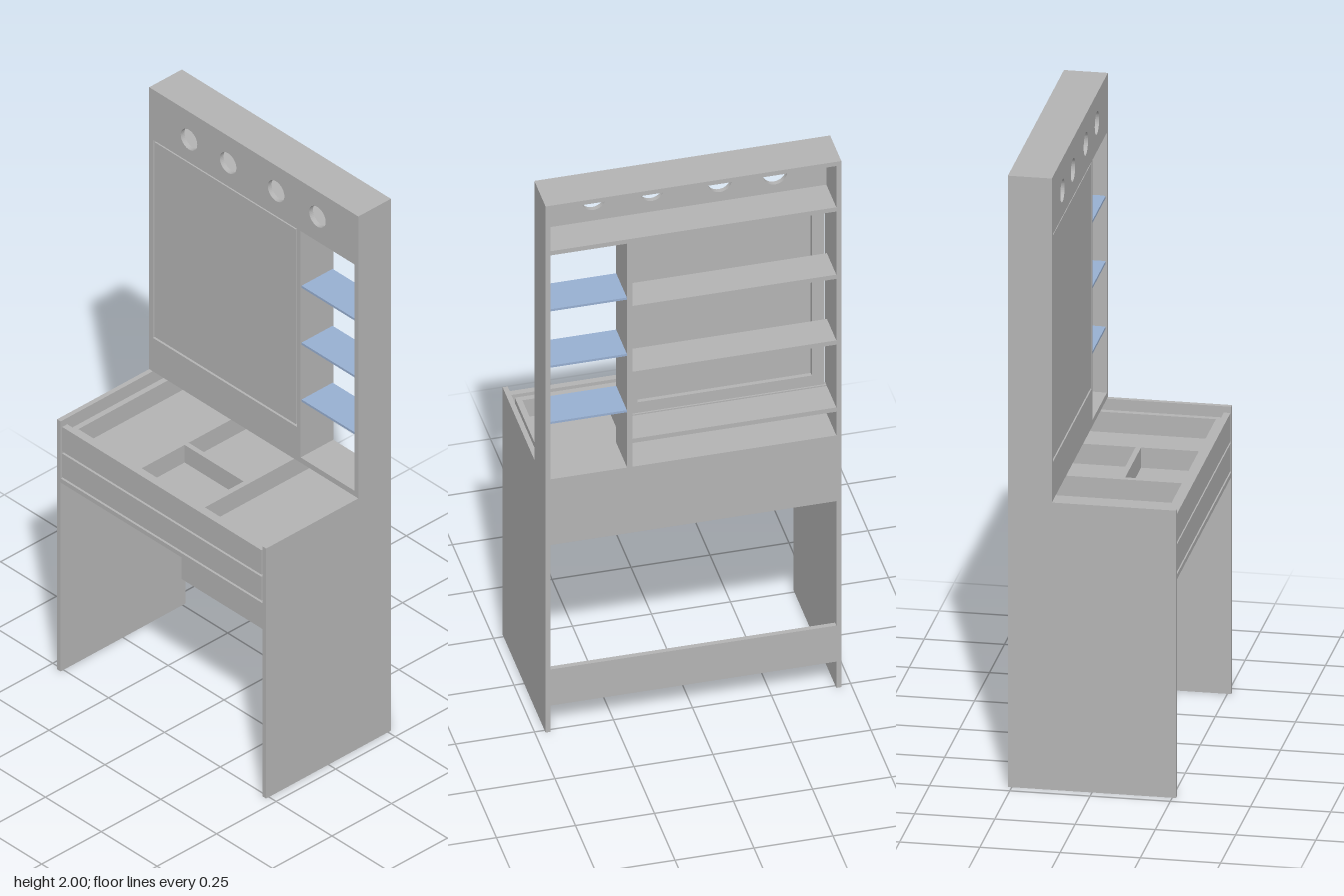
import * as THREE from 'three';

export function createModel() {
  const model = new THREE.Group();
  model.name = 'dressingTable';
  const board = new THREE.MeshStandardMaterial({ color: 0xb4b4b4 });
  board.name = 'grey board';
  const glass = new THREE.MeshStandardMaterial({ color: 0x98b0d2 });
  glass.name = 'blue glass';

  // Box given by its limits on each axis
  function box(name, x0, x1, y0, y1, z0, z1, mat = board) {
    const mesh = new THREE.Mesh(new THREE.BoxGeometry(x1 - x0, y1 - y0, z1 - z0), mat);
    mesh.position.set((x0 + x1) / 2, (y0 + y1) / 2, (z0 + z1) / 2);
    mesh.name = name;
    model.add(mesh);
    return mesh;
  }
  function rect(PathType, x0, x1, y0, y1) {
    const p = new PathType();
    p.moveTo(x0, y0);
    p.lineTo(x1, y0);
    p.lineTo(x1, y1);
    p.lineTo(x0, y1);
    p.closePath();
    return p;
  }
  function plate(name, shape, depth, z) {
    const geo = new THREE.ExtrudeGeometry(shape, { depth, bevelEnabled: false, curveSegments: 20 });
    const mesh = new THREE.Mesh(geo, board);
    mesh.position.z = z;
    mesh.name = name;
    model.add(mesh);
    return mesh;
  }

  const W = 0.468, IN = 0.452, BACK = -0.262, FRONT = 0.262;
  const PANEL = -0.125, T = 0.016;

  // L-shaped side walls: deep below the desk, shallow above
  const outline = [[BACK, 0], [FRONT, 0], [FRONT, 0.94], [PANEL - T, 0.94], [PANEL - T, 2], [BACK, 2]];
  const sideShape = new THREE.Shape(outline.map(([z, y]) => new THREE.Vector2(-z, y)));
  for (const [name, x] of [['leftSide', IN], ['rightSide', -W]]) {
    const side = plate(name, sideShape, W - IN, 0);
    side.rotation.y = Math.PI / 2;
    side.position.x = x;
  }

  // Upper front panel with lamp holes, door opening and shelf opening
  const panel = rect(THREE.Shape, -W, W, 0.94, 2);
  panel.holes.push(rect(THREE.Path, -0.452, 0.193, 1.066, 1.811));
  panel.holes.push(rect(THREE.Path, 0.21, 0.45, 0.96, 1.811));
  for (const [x, y] of [[-0.29, 1.895], [-0.115, 1.898], [0.1, 1.904], [0.285, 1.904]]) {
    const hole = new THREE.Path();
    hole.absarc(x, y, 0.037, 0, Math.PI * 2, true);
    panel.holes.push(hole);
  }
  plate('upperFrontPanel', panel, T, PANEL - T);

  // Mirror door with a raised rim on its back
  box('mirrorDoor', -0.445, 0.187, 1.073, 1.805, PANEL - 0.006, PANEL - 0.001);
  const rim = rect(THREE.Shape, -0.445, 0.187, 1.073, 1.805);
  rim.holes.push(rect(THREE.Path, -0.405, 0.147, 1.113, 1.765));
  plate('mirrorDoorRim', rim, 0.014, PANEL - 0.02);

  // Upper cabinet boards, open at the back
  const inner = PANEL - T;
  box('topBoard', -IN, IN, 2 - T, 2, BACK, inner);
  box('upperShelf', -IN, IN, 1.811, 1.827, BACK, inner);
  box('cabinetFloor', -IN, IN, 0.944, 0.96, BACK, inner);
  box('divider', 0.193, 0.21, 0.96, 1.811, BACK, inner);
  for (const y of [1.05, 1.305, 1.555]) {
    box('cabinetShelf', -IN, 0.193, y, y + T, BACK, PANEL - 0.022);
  }
  for (const y of [1.172, 1.386, 1.6]) {
    box('glassShelf', 0.21, IN, y - 0.004, y + 0.004, BACK + 0.003, PANEL - 0.004, glass);
  }

  // Desk frame
  box('deskBackPanel', -IN, IN, 0.71, 0.944, BACK, BACK + T);
  box('backRail', -IN, IN, 0.71, 0.726, BACK + T, -0.155);
  box('frontRail', -IN, IN, 0.71, 0.726, 0.17, FRONT);
  box('footBoard', -IN, IN, 0.1, 0.237, BACK, BACK + T);

  // Two stacked drawers
  const zb = -0.24, zf = 0.24, w = 0.435, t = 0.019;
  function drawer(name, y0, y1) {
    box(name + 'Front', -0.446, 0.446, y0, y1, zf, 0.261);
    const b = y0 + 0.004, h = y1 - 0.012;
    box(name + 'Bottom', -w, w, b, b + 0.01, zb, zf);
    for (const s of [-1, 1]) {
      const c = s * (w - t / 2);
      box(name + 'Side', c - t / 2, c + t / 2, b + 0.01, h, zb, zf);
    }
    box(name + 'Back', -w + t, w - t, b + 0.01, h, zb, zb + t);
    box(name + 'InnerFront', -w + t, w - t, b + 0.01, h, zf - t, zf);
    return [b + 0.01, h];
  }
  drawer('lowerDrawer', 0.733, 0.822);
  const [b, h] = drawer('upperDrawer', 0.83, 0.922);

  // Compartment walls of the open upper drawer
  for (const x of [-0.142, 0.141]) {
    box('trayDivider', x - 0.0095, x + 0.0095, b, h, zb + t, zf - t);
  }
  box('trayCrossDivider', -0.1325, 0.1315, b, h, 0.024, 0.041);

  return model;
}
